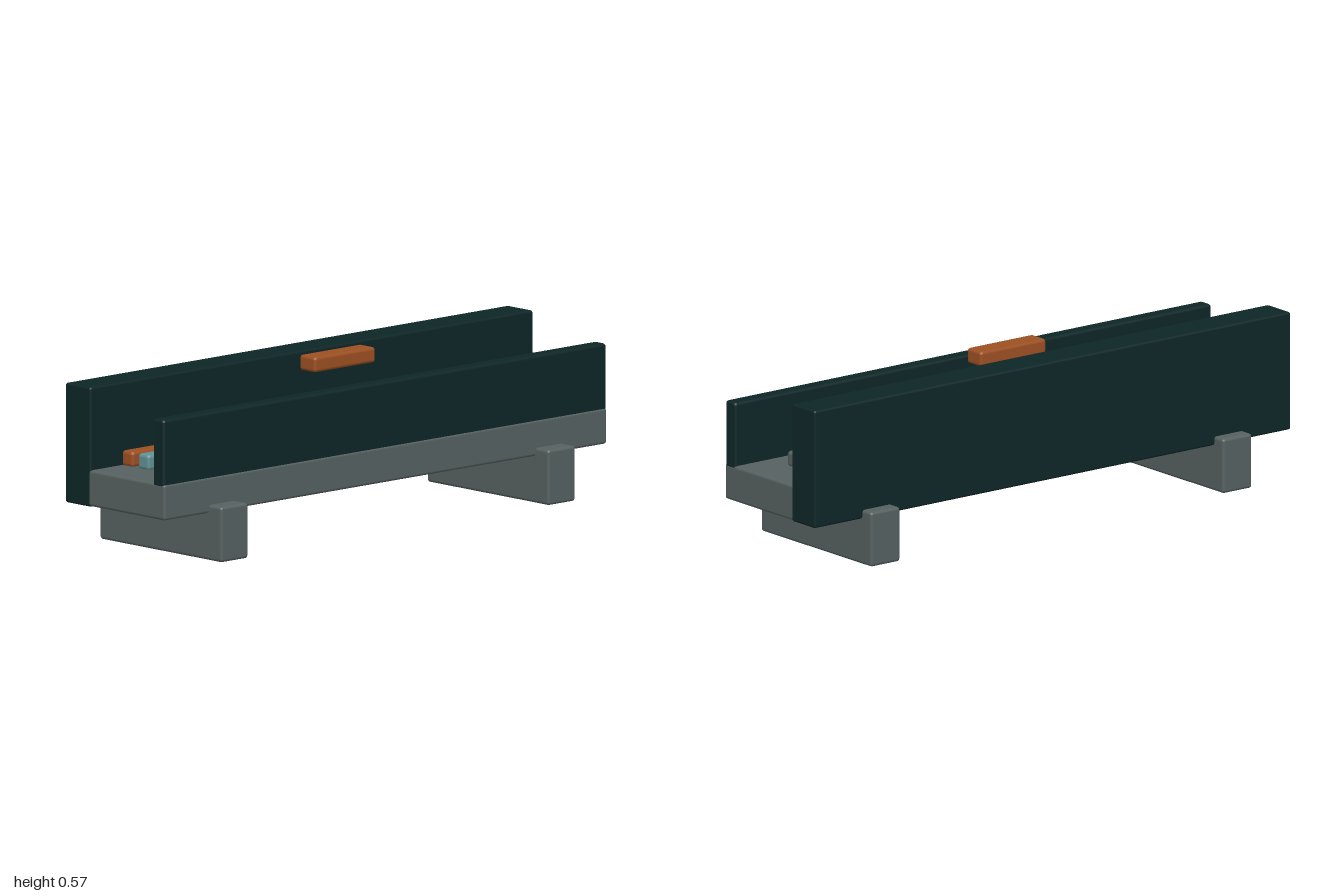
import * as THREE from 'three';
import { RoundedBoxGeometry } from 'three/addons/geometries/RoundedBoxGeometry.js';

const material = (name, color) => {
  const m = new THREE.MeshStandardMaterial({ color });
  m.name = name;
  return m;
};

export function createModel() {
  const group = new THREE.Group();
  const grey = material('slate grey', 0x566160);
  const dark = material('dark green', 0x0e2627);
  const orange = material('burnt orange', 0x9c4f22);
  const teal = material('pale teal', 0x629094);

  // Softly bevelled box given by its extents on each axis
  const block = (name, mat, [x0, x1], [y0, y1], [z0, z1], bevel) => {
    const geometry = new RoundedBoxGeometry(x1 - x0, y1 - y0, z1 - z0, 2, bevel);
    const mesh = new THREE.Mesh(geometry, mat);
    mesh.name = name;
    mesh.position.set((x0 + x1) / 2, (y0 + y1) / 2, (z0 + z1) / 2);
    group.add(mesh);
  };

  // Tray floor and its two walls
  block('base', grey, [-1, 1], [0.157, 0.278], [-0.135, 0.231], 0.01);
  block('backWall', dark, [-1, 1], [0.155, 0.555], [-0.245, -0.123], 0.008);
  block('frontWall', dark, [-1, 1], [0.265, 0.493], [0.175, 0.228], 0.01);

  // Cross feet
  block('leftFoot', grey, [0.677, 0.8], [0, 0.185], [-0.292, 0.292], 0.01);
  block('rightFoot', grey, [-0.8, -0.677], [0, 0.185], [-0.292, 0.292], 0.01);

  // Long bars lying in the tray
  [['frontBar', grey, 0.055], ['middleBar', teal, -0.022], ['backBar', orange, -0.099]]
    .forEach(([name, mat, z]) =>
      block(name, mat, [-0.858, 0.858], [0.275, 0.328], [z - 0.027, z + 0.027], 0.012));

  // Small block hovering above the tray
  block('floatingBlock', orange, [-0.138, 0.138], [0.514, 0.566], [-0.038, 0.038], 0.011);

  return group;
}
